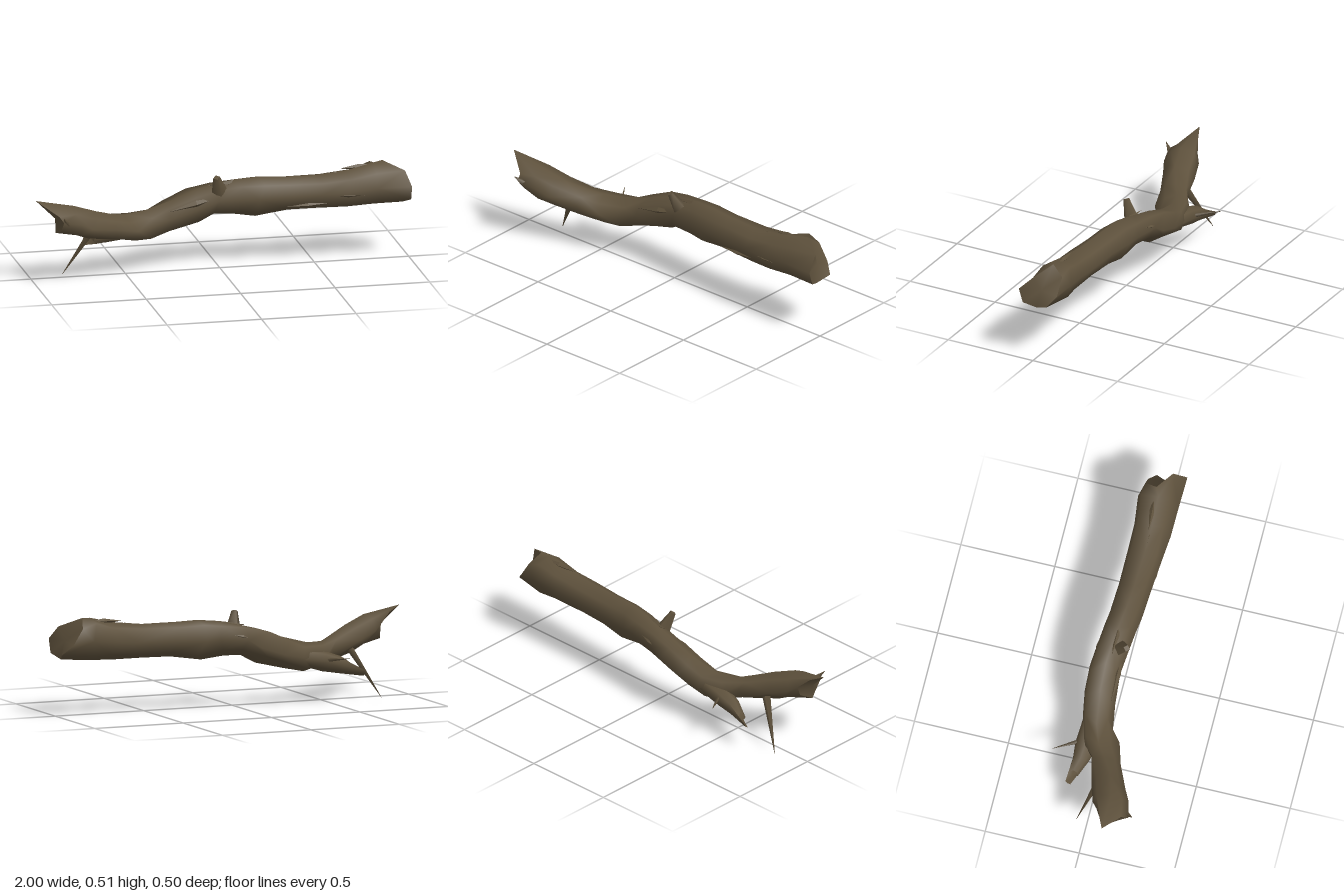
import * as THREE from 'three';

const bark = new THREE.MeshStandardMaterial({ color: 0x5e513c });
bark.name = 'darkBark';

let seed = 7;
const rand = () => {
  seed = (seed * 16807) % 2147483647;
  return seed / 2147483647 - 0.5;
};

const SIDES = 8;
// Fullness around the trunk: front, top, back, bottom, with corners between
const FULLNESS = [1, 0.88, 1, 1.1, 1, 0.94, 1, 1.05];

// Rough ring from its extents: x, bottom, top, back, front
function ring([x, y0, y1, z0, z1], rough = 0.016) {
  return FULLNESS.map((full, j) => {
    const t = (j / SIDES) * Math.PI * 2;
    const r = full + (j % 2) * rand() * 0.16;
    return [
      x + rand() * rough * 4,
      (y0 + y1) / 2 + Math.sin(t) * r * (y1 - y0) / 2 + rand() * rough * 0.5,
      (z0 + z1) / 2 + Math.cos(t) * r * (z1 - z0) / 2 + rand() * rough * 0.5,
    ];
  });
}

function build(positions, index) {
  const g = new THREE.BufferGeometry();
  g.setAttribute('position', new THREE.Float32BufferAttribute(positions, 3));
  g.setIndex(index);
  g.computeVertexNormals();
  return g;
}

// Skin through rings ordered along +x
function skin(rings) {
  const index = [];
  for (let i = 0; i < rings.length - 1; i++) {
    for (let j = 0; j < SIDES; j++) {
      const k = (j + 1) % SIDES;
      const a = i * SIDES + j, b = i * SIDES + k;
      const c = a + SIDES, d = b + SIDES;
      if ((i + j) % 2) index.push(a, c, b, b, c, d);
      else index.push(a, c, d, a, d, b);
    }
  }
  return build(rings.flat(2), index);
}

// Broken end face, closed by a fan
function cap(points, facing) {
  const centre = [0, 1, 2].map(n => points.reduce((s, p) => s + p[n], 0) / points.length);
  const index = [];
  points.forEach((_, j) => {
    const a = j + 1, b = ((j + 1) % points.length) + 1;
    index.push(0, ...(facing > 0 ? [b, a] : [a, b]));
  });
  return build([centre, ...points].flat(), index);
}

// Turns a geometry along +y to run between two points
function between(from, to, make) {
  const a = new THREE.Vector3(...from), b = new THREE.Vector3(...to);
  const dir = b.clone().sub(a);
  const g = make(dir.length());
  g.applyQuaternion(new THREE.Quaternion().setFromUnitVectors(
    new THREE.Vector3(0, 1, 0), dir.normalize()));
  g.translate(...a.add(b).multiplyScalar(0.5).toArray());
  return g;
}

const twig = (from, to, r0, r1, sides = 4) =>
  between(from, to, length => new THREE.CylinderGeometry(r1, r0, length, sides));

// Ridge of bark pointed at both ends
const ridge = (from, to, r) =>
  between(from, to, length => new THREE.OctahedronGeometry(1).scale(r, length / 2, r));

export function createModel() {
  const group = new THREE.Group();
  group.name = 'brokenBranch';
  const add = (name, geometry) => {
    const m = new THREE.Mesh(geometry, bark);
    m.name = name;
    group.add(m);
  };

  // Jagged end outlines, running front, top, back, bottom
  const thinEnd = [
    [-0.875, 0.355, 0.232], [-0.89, 0.378, 0.195], [-1, 0.452, 0.12], [-0.93, 0.42, 0.09],
    [-0.87, 0.365, 0.06], [-0.87, 0.31, 0.08], [-0.9, 0.28, 0.14], [-0.88, 0.295, 0.18],
  ];
  const thickEnd = [
    [1, 0.395, 0.083], [0.978, 0.465, 0.012], [0.87, 0.511, -0.05], [0.895, 0.462, -0.115],
    [0.95, 0.375, -0.115], [1, 0.325, -0.08], [0.97, 0.294, -0.005], [1, 0.322, 0.06],
  ];

  // Trunk
  const trunk = [
    [-0.8, 0.255, 0.412, 0.03, 0.208],
    [-0.7, 0.225, 0.372, 0, 0.178],
    [-0.57, 0.2, 0.33, -0.05, 0.115],
    [-0.47, 0.172, 0.308, -0.11, 0.075],
    [-0.37, 0.165, 0.315, -0.145, 0.028],
    [-0.25, 0.188, 0.355, -0.16, 0.01],
    [-0.12, 0.23, 0.405, -0.163, 0],
    [0, 0.275, 0.44, -0.157, 0.01],
    [0.1, 0.272, 0.452, -0.145, 0.022],
    [0.22, 0.256, 0.46, -0.13, 0.04],
    [0.36, 0.282, 0.456, -0.125, 0.052],
    [0.55, 0.285, 0.454, -0.12, 0.066],
    [0.7, 0.284, 0.477, -0.127, 0.075],
  ].map(r => ring(r));
  trunk.push(ring([0.83, 0.285, 0.508, -0.139, 0.08], 0.006));
  add('trunk', skin([thinEnd, ...trunk, thickEnd]));
  add('thinBrokenEnd', cap(thinEnd, -1));
  add('thickBrokenEnd', cap(thickEnd, 1));

  // Snapped fork at the back
  const fork = [
    [-0.64, 0.13, 0.19, -0.15, -0.095],
    [-0.57, 0.145, 0.235, -0.14, -0.055],
    [-0.48, 0.16, 0.27, -0.145, -0.03],
    [-0.36, 0.19, 0.28, -0.135, -0.03],
  ].map(r => ring(r, 0.006));
  for (const j of [4, 5, 6]) fork[0][j][0] = -0.69;
  add('fork', skin(fork));
  add('forkBrokenEnd', cap(fork[0], -1));

  // Sharp twigs, end spur and the short stub on top
  add('lowerTwig', twig([-0.68, 0.25, 0.025], [-0.82, 0, -0.058], 0.022, 0.001));
  add('backTwig', twig([-0.47, 0.22, -0.11], [-0.56, 0.243, -0.25], 0.013, 0.001));
  add('endSpur', twig([-0.85, 0.345, 0.21], [-0.88, 0.386, 0.252], 0.018, 0.001));
  add('topStub', twig([0.005, 0.4, -0.03], [-0.02, 0.488, 0.012], 0.042, 0.018, 4));

  // Bark ridges lying along the surface: start, end, thickness
  const ridges = [
    [[0.85, 0.49, -0.05], [0.64, 0.482, -0.035], 0.014],
    [[0.72, 0.455, -0.02], [0.52, 0.455, -0.03], 0.014],
    [[0.8, 0.36, 0.064], [0.54, 0.365, 0.052], 0.016],
    [[0.3, 0.31, 0.02], [0.62, 0.33, 0.05], 0.018],
    [[0.03, 0.38, -0.015], [-0.27, 0.31, -0.012], 0.018],
    [[0.2, 0.44, -0.06], [-0.05, 0.425, -0.06], 0.016],
    [[0.1, 0.4, -0.13], [-0.1, 0.35, -0.148], 0.016],
    [[-0.38, 0.27, -0.12], [-0.14, 0.35, -0.14], 0.016],
  ];
  for (const [start, end, r] of ridges) add('barkRidge', ridge(start, end, r));

  return group;
}
